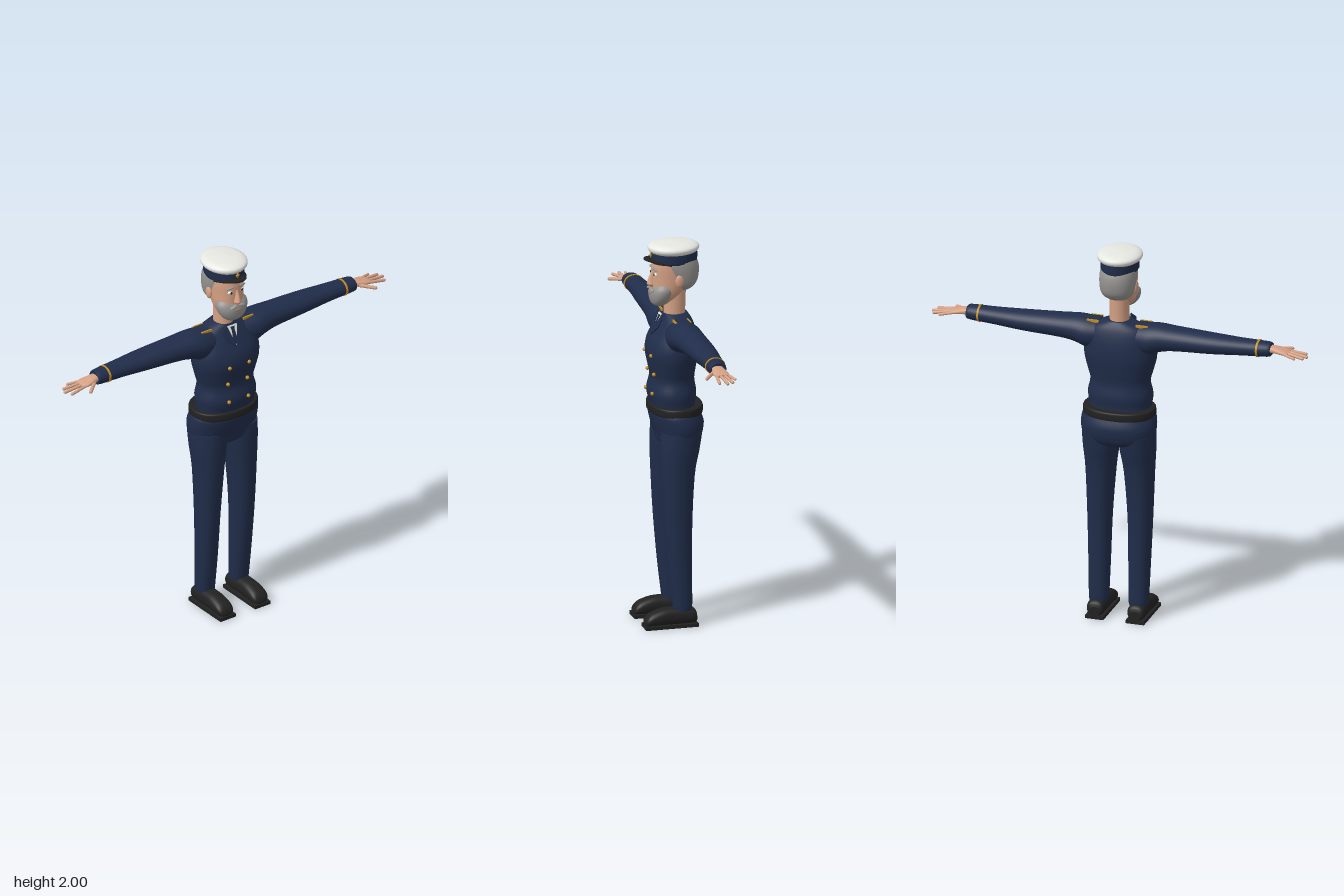
import * as THREE from 'three';

const paint = (name, color) => {
  const m = new THREE.MeshStandardMaterial({ color });
  m.name = name;
  return m;
};
const M = {
  navy: paint('navy cloth', 0x202d4a), black: paint('black leather', 0x222222),
  white: paint('white cloth', 0xe9e9e4), skin: paint('skin', 0xd5a184),
  grey: paint('grey hair', 0x949390), gold: paint('gold', 0xc58e22), lip: paint('lip', 0xa9705f),
};

// Smooth skin through oval sections [t, a0, a1, b0, b1]; a and b are the bounds
// on the next two axes in cyclic order (y: z,x   x: y,z   z: x,y).
function loft(axis, rings, power = 2, seg = 32, sub = 4) {
  const at = (i) => rings[Math.max(0, Math.min(rings.length - 1, i))];
  const sections = [];
  for (let i = 0; i < rings.length - 1; i++) {
    for (let s = 0; s < sub; s++) {
      const u = s / sub;
      sections.push(at(i).map((p1, k) => {
        const p0 = at(i - 1)[k], p2 = at(i + 1)[k], p3 = at(i + 2)[k];
        return p1 + 0.5 * u * (p2 - p0 + u * (2 * p0 - 5 * p1 + 4 * p2 - p3 + u * (3 * (p1 - p2) + p3 - p0)));
      }));
    }
  }
  sections.push(at(rings.length - 1));
  const pos = [], index = [], ia = 'xyz'.indexOf(axis);
  const add = (t, a, b) => {
    const v = [0, 0, 0];
    v[ia] = t; v[(ia + 1) % 3] = a; v[(ia + 2) % 3] = b;
    pos.push(...v);
  };
  const round = (c) => Math.sign(c) * Math.abs(c) ** (2 / power);
  const ring = ([t, a0, a1, b0, b1]) => {
    for (let j = 0; j < seg; j++) {
      const w = (j / seg) * Math.PI * 2;
      add(t, (a0 + a1) / 2 + (a1 - a0) / 2 * round(Math.cos(w)), (b0 + b1) / 2 + (b1 - b0) / 2 * round(Math.sin(w)));
    }
  };
  sections.forEach(ring);
  for (let i = 0; i < sections.length - 1; i++) {
    for (let j = 0; j < seg; j++) {
      const a = i * seg + j, b = i * seg + (j + 1) % seg;
      index.push(a, b, b + seg, a, b + seg, a + seg);
    }
  }
  // end caps
  for (const end of [0, 1]) {
    const s = sections[end ? sections.length - 1 : 0], base = pos.length / 3;
    ring(s);
    add(s[0], (s[1] + s[2]) / 2, (s[3] + s[4]) / 2);
    for (let j = 0; j < seg; j++) {
      const a = base + j, b = base + (j + 1) % seg;
      index.push(base + seg, end ? a : b, end ? b : a);
    }
  }
  const g = new THREE.BufferGeometry();
  g.setAttribute('position', new THREE.Float32BufferAttribute(pos, 3));
  g.setIndex(index);
  g.computeVertexNormals();
  return g;
}
// Upright loft symmetric in x: [y, back, front, halfWidth]
const body = (rows, power) => loft('y', rows.map(([y, z0, z1, x]) => [y, z0, z1, -x, x]), power);
const ball = (x, y, z, rx, ry, rz) => new THREE.SphereGeometry(1, 20, 14).scale(rx, ry, rz).translate(x, y, z);
const box = (w, h, d, x, y, z) => new THREE.BoxGeometry(w, h, d).translate(x, y, z);
function finger(a, b, r) {
  const p = new THREE.Vector3(...a), q = new THREE.Vector3(...b), d = q.clone().sub(p);
  const turn = new THREE.Quaternion().setFromUnitVectors(new THREE.Vector3(0, 1, 0), d.clone().normalize());
  const mid = p.add(q).multiplyScalar(0.5);
  return new THREE.CapsuleGeometry(r, d.length(), 4, 10).applyQuaternion(turn).translate(mid.x, mid.y, mid.z);
}
// Thin plate lying on the sloping upper chest
function chestPlate(points, lift) {
  const shape = new THREE.Shape(points.map(([x, y]) => new THREE.Vector2(x, y)));
  return new THREE.ExtrudeGeometry(shape, { depth: 0.006, bevelEnabled: false })
    .translate(0, 0, lift).rotateX(-0.42).translate(0, 1.525, 0.086);
}
function mirrored(geo) {
  const g = geo.clone().scale(-1, 1, 1);
  const idx = g.index ? Array.from(g.index.array) : Array.from({ length: g.attributes.position.count }, (_, i) => i);
  for (let i = 0; i < idx.length; i += 3) [idx[i + 1], idx[i + 2]] = [idx[i + 2], idx[i + 1]];
  g.setIndex(idx);
  return g;
}

export function createModel() {
  const model = new THREE.Group();
  model.name = 'officer';
  const part = (name, geo, mat) => {
    const m = new THREE.Mesh(geo, mat);
    m.name = name;
    model.add(m);
  };
  const pair = (name, geo, mat) => {
    part('left ' + name, geo, mat);
    part('right ' + name, mirrored(geo), mat);
  };

  // jacket, belt and trousers
  part('jacket', body([[1.12, -0.13, 0.09, 0.165], [1.16, -0.122, 0.1, 0.162], [1.22, -0.128, 0.112, 0.168],
    [1.29, -0.118, 0.097, 0.155], [1.35, -0.125, 0.106, 0.17], [1.42, -0.135, 0.118, 0.187], [1.48, -0.134, 0.108, 0.187],
    [1.54, -0.125, 0.075, 0.178], [1.59, -0.11, 0.045, 0.14], [1.625, -0.09, 0.03, 0.06]], 2.2), M.navy);
  part('belt', body([[1.11, -0.15, 0.1, 0.178], [1.114, -0.16, 0.11, 0.186], [1.133, -0.162, 0.112, 0.188],
    [1.152, -0.16, 0.11, 0.186], [1.156, -0.15, 0.1, 0.178]], 2.2), M.black);
  part('hips', body([[0.94, -0.08, 0.04, 0.06], [0.965, -0.13, 0.07, 0.15], [1.0, -0.154, 0.077, 0.186],
    [1.06, -0.165, 0.094, 0.196], [1.11, -0.15, 0.103, 0.19], [1.13, -0.14, 0.09, 0.175]], 2.2), M.navy);
  pair('trouser leg', loft('y', [[0.085, -0.083, 0.01, 0.056, 0.154], [0.12, -0.086, 0.014, 0.054, 0.157],
    [0.3, -0.085, 0.035, 0.05, 0.162], [0.55, -0.086, 0.056, 0.044, 0.17], [0.8, -0.1, 0.07, 0.025, 0.179],
    [0.93, -0.125, 0.074, 0.006, 0.188], [1.02, -0.14, 0.07, 0.0, 0.19]], 2.2), M.navy);

  // shoes
  pair('shoe', loft('z', [[-0.107, 0.08, 0.135, 0.02, 0.065], [-0.095, 0.064, 0.151, 0.015, 0.09],
    [-0.05, 0.061, 0.154, 0.012, 0.1], [0.03, 0.061, 0.154, 0.012, 0.102], [0.08, 0.06, 0.156, 0.012, 0.096],
    [0.13, 0.061, 0.155, 0.012, 0.078], [0.155, 0.07, 0.146, 0.015, 0.055], [0.163, 0.09, 0.126, 0.02, 0.035]], 2.4), M.black);
  pair('sole', box(0.096, 0.018, 0.275, 0.108, 0.009, 0.028), M.black);

  // sleeves and cuff braid
  pair('sleeve', loft('x', [[0.08, 1.47, 1.605, -0.1, 0.05], [0.16, 1.455, 1.618, -0.115, 0.064],
    [0.22, 1.475, 1.621, -0.111, 0.06], [0.3, 1.49, 1.616, -0.106, 0.05], [0.5, 1.501, 1.607, -0.1, 0.036],
    [0.65, 1.512, 1.6, -0.085, 0.026], [0.79, 1.519, 1.596, -0.07, 0.022], [0.805, 1.53, 1.585, -0.06, 0.015]]), M.navy);
  pair('cuff braid', loft('x', [[0.735, 1.513, 1.601, -0.079, 0.027], [0.745, 1.513, 1.601, -0.078, 0.027]], 2, 32, 1), M.gold);

  // hands
  pair('palm', loft('x', [[0.78, 1.542, 1.576, -0.052, 0.008], [0.82, 1.541, 1.576, -0.05, 0.012],
    [0.86, 1.54, 1.568, -0.058, 0.02], [0.885, 1.539, 1.562, -0.058, 0.018], [0.9, 1.544, 1.556, -0.05, 0.01]], 2.4), M.skin);
  [['little finger', [0.87, 1.551, -0.048], [0.94, 1.541, -0.073], 0.007],
    ['ring finger', [0.88, 1.551, -0.031], [0.978, 1.538, -0.05], 0.008],
    ['middle finger', [0.88, 1.551, -0.011], [0.991, 1.537, -0.02], 0.008],
    ['index finger', [0.88, 1.551, 0.008], [0.975, 1.538, 0.018], 0.008],
    ['thumb', [0.825, 1.553, 0.006], [0.89, 1.541, 0.06], 0.009],
  ].forEach(([name, a, b, r]) => pair(name, finger(a, b, r), M.skin));

  // epaulettes and buttons
  pair('epaulette', box(0.06, 0.014, 0.07, 0.13, 1.606, -0.0275), M.navy);
  for (const z of [-0.065, 0.01]) pair('epaulette braid', box(0.062, 0.014, 0.008, 0.13, 1.608, z), M.gold);
  [[1.42, 0.114], [1.32, 0.099], [1.22, 0.108]].forEach(([y, z]) =>
    pair('button', ball(0.06, y, z, 0.01, 0.01, 0.01), M.gold));

  // shirt front, tie and lapels
  part('shirt front', chestPlate([[0, 0], [0.034, 0.09], [0.03, 0.105], [-0.03, 0.105], [-0.034, 0.09]], 0), M.white);
  part('tie', chestPlate([[0, 0.004], [0.013, 0.03], [0.008, 0.078], [0.012, 0.097], [-0.012, 0.097],
    [-0.008, 0.078], [-0.013, 0.03]], 0.003), M.navy);
  pair('lapel', chestPlate([[0, -0.012], [0.055, 0.04], [0.062, 0.085], [0.035, 0.11], [0.027, 0.09]], 0.004), M.navy);

  // neck, head and hair
  part('neck', body([[1.57, -0.085, 0.035, 0.054], [1.63, -0.08, 0.03, 0.05], [1.77, -0.085, 0.03, 0.05]]), M.skin);
  part('head', body([[1.68, 0.01, 0.085, 0.04], [1.72, -0.04, 0.094, 0.07], [1.77, -0.09, 0.093, 0.08],
    [1.82, -0.13, 0.094, 0.084], [1.87, -0.135, 0.094, 0.085], [1.92, -0.12, 0.085, 0.082]], 2.2), M.skin);
  part('hair', body([[1.75, -0.1, -0.02, 0.05], [1.77, -0.125, 0.0, 0.076], [1.8, -0.143, 0.025, 0.088],
    [1.845, -0.15, 0.05, 0.094], [1.885, -0.146, 0.065, 0.094], [1.92, -0.13, 0.06, 0.088]], 2.1), M.grey);
  pair('ear', ball(0.088, 1.808, -0.028, 0.011, 0.034, 0.022), M.skin);

  // beard, moustache and mouth
  part('beard', body([[1.672, 0.03, 0.085, 0.035], [1.685, 0.015, 0.098, 0.056], [1.71, 0, 0.105, 0.076],
    [1.74, -0.015, 0.106, 0.087], [1.765, -0.01, 0.096, 0.086], [1.785, 0.0, 0.08, 0.07]], 2.2), M.grey);
  pair('moustache', ball(0, 0, 0, 0.026, 0.009, 0.012).rotateZ(-0.25).translate(0.022, 1.758, 0.1), M.grey);
  part('mouth', ball(0, 1.737, 0.104, 0.02, 0.006, 0.006), M.lip);

  // nose, eyes and brows
  part('nose', body([[1.768, 0.07, 0.105, 0.011], [1.782, 0.07, 0.119, 0.019], [1.797, 0.07, 0.117, 0.015],
    [1.82, 0.07, 0.109, 0.011], [1.85, 0.07, 0.095, 0.009]]), M.skin);
  pair('eye', ball(0.034, 1.838, 0.083, 0.016, 0.011, 0.009), M.white);
  pair('pupil', ball(0.033, 1.838, 0.09, 0.006, 0.007, 0.004), M.black);
  pair('eyebrow', ball(0, 0, 0, 0.023, 0.006, 0.008).rotateZ(-0.15).rotateY(0.25).translate(0.037, 1.866, 0.087), M.grey);

  // peaked cap
  part('cap band', body([[1.893, -0.138, 0.095, 0.092], [1.905, -0.142, 0.098, 0.095], [1.955, -0.142, 0.098, 0.095]]), M.navy);
  part('cap crown', body([[1.945, -0.135, 0.095, 0.095], [1.956, -0.147, 0.108, 0.11], [1.97, -0.152, 0.112, 0.115],
    [1.983, -0.144, 0.104, 0.107], [1.994, -0.11, 0.07, 0.078], [2.0, -0.03, -0.01, 0.01]]), M.white);
  const visor = new THREE.BoxGeometry(2, 0.007, 1, 24, 1, 3);
  const p = visor.attributes.position;
  for (let i = 0; i < p.count; i++) {
    const u = p.getX(i), v = p.getZ(i) + 0.5, a = u * 1.25;
    p.setXYZ(i, Math.sin(a) * 0.094, p.getY(i) + 1.915 - 0.022 * u * u, -0.022 + Math.cos(a) * 0.11 + v * 0.046 * Math.cos(u * 1.5));
  }
  visor.computeVertexNormals();
  part('cap visor', visor, M.black);
  part('cap badge', new THREE.OctahedronGeometry(1).scale(0.014, 0.017, 0.008).translate(0, 1.935, 0.099), M.gold);
  return model;
}
